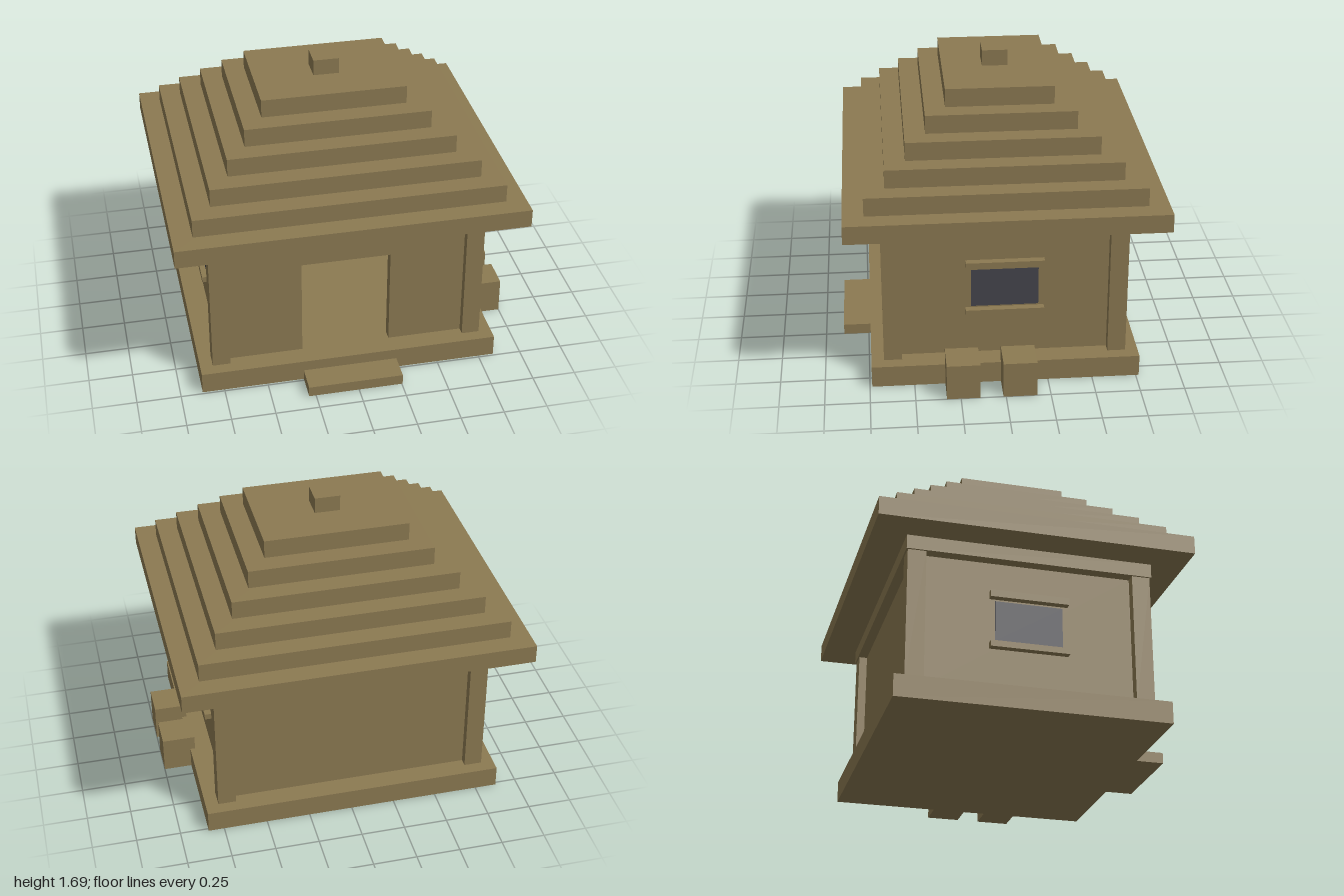
import * as THREE from 'three';

export function createModel() {
  const group = new THREE.Group();
  const clay = new THREE.MeshStandardMaterial({ color: 0x8c7a52 });
  clay.name = 'clay';
  const glass = new THREE.MeshStandardMaterial({ color: 0x46464d });
  glass.name = 'dark glass';

  // box from its minimum and maximum on each axis
  function box(name, x0, x1, y0, y1, z0, z1, material = clay) {
    const mesh = new THREE.Mesh(new THREE.BoxGeometry(x1 - x0, y1 - y0, z1 - z0), material);
    mesh.position.set((x0 + x1) / 2, (y0 + y1) / 2, (z0 + z1) / 2);
    mesh.name = name;
    group.add(mesh);
  }

  const cx = -0.0175, cz = -0.015; // middle of the house
  function centred(name, hx, hz, y0, y1) {
    box(name, cx - hx, cx + hx, y0, y1, cz - hz, cz + hz);
  }

  // plinth and doorstep
  const floor = 0.125, wallTop = 0.885;
  centred('plinth', 0.8575, 0.7525, 0, floor);
  box('doorstep', -0.29, 0.255, 0, 0.062, 0.73, 0.895);

  // corner posts
  for (const sx of [-1, 1]) for (const sz of [-1, 1]) {
    const x = cx + sx * 0.7335, z = cz + sz * 0.631;
    box('cornerPost', x - 0.051, x + 0.051, floor, wallTop, z - 0.051, z + 0.051);
  }

  // hollow walls with an open doorway in the front
  const wx = 0.73, wz = 0.635, t = 0.06;
  const left = cx - wx, right = cx + wx, back = cz - wz, front = cz + wz;
  box('backWall', left, right, floor, wallTop, back, back + t);
  for (const s of [-1, 1]) {
    const outer = cx + s * wx, inner = cx + s * (wx - t);
    box('sideWall', Math.min(outer, inner), Math.max(outer, inner), floor, wallTop, back + t, front - t);
  }
  const outline = new THREE.Shape([
    [left, floor], [-0.275, floor], [-0.275, 0.713], [0.235, 0.713],
    [0.235, floor], [right, floor], [right, wallTop], [left, wallTop],
  ].map(([x, y]) => new THREE.Vector2(x, y)));
  const frontWall = new THREE.Mesh(
    new THREE.ExtrudeGeometry(outline, { depth: t, bevelEnabled: false }), clay);
  frontWall.position.z = front - t;
  frontWall.name = 'frontWall';
  group.add(frontWall);

  // a window with lintel and sill on each side
  for (const s of [-1, 1]) {
    const wall = cx + s * wx;
    const fixture = (name, depth, y0, y1, hz, material) => {
      const a = wall - s * 0.01, b = wall + s * depth;
      box(name, Math.min(a, b), Math.max(a, b), y0, y1, cz - hz, cz + hz, material);
    };
    fixture('windowPane', 0.009, 0.425, 0.657, 0.188, glass);
    fixture('windowLintel', 0.04, 0.67, 0.71, 0.219);
    fixture('windowSill', 0.04, 0.378, 0.413, 0.219);
  }

  // beam, stepped roof and finial
  centred('roofBeam', 0.795, 0.69, wallTop, 0.965);
  const rise = 0.105;
  for (let i = 0; i < 6; i++) {
    centred('roofTier', 0.982 - i * 0.1147, 0.88 - i * 0.1158, 0.965 + i * rise, 0.965 + (i + 1) * rise);
  }
  centred('finial', 0.0725, 0.0725, 1.595, 1.687);

  // two crates beside the plinth
  box('crate', 0.812, 1, 0, 0.21, 0.142, 0.328);
  box('crate', 0.812, 1, 0, 0.21, -0.173, 0.015);

  return group;
}
